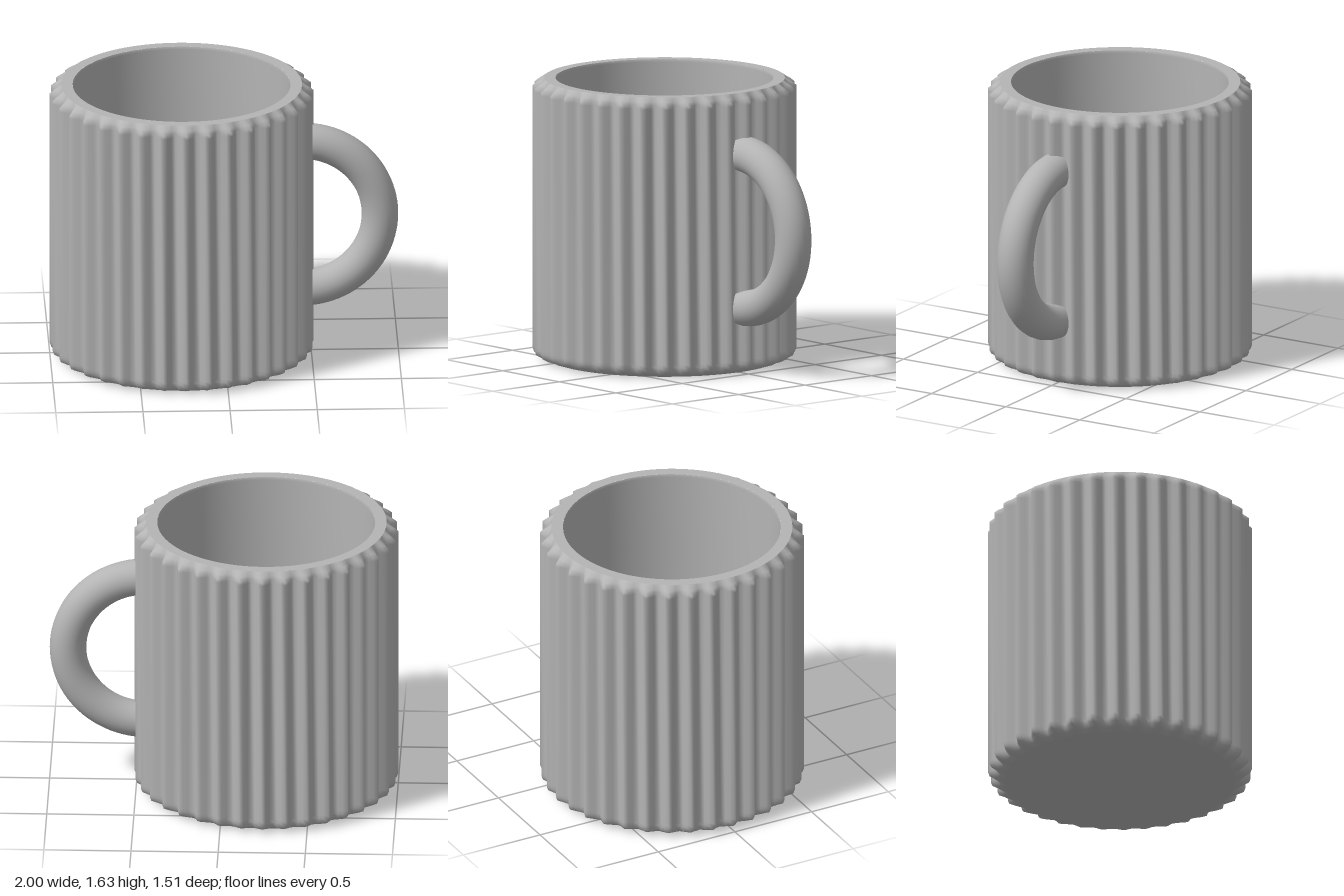
import * as THREE from 'three';
import { mergeVertices, toCreasedNormals } from 'three/addons/utils/BufferGeometryUtils.js';

const RIBS = 36, STEPS = 6;      // ribs around the mug, facets per rib
const CENTER_X = -0.243, HEIGHT = 1.63;

// Lathe a profile of [radius, y] pairs
const lathe = (profile, segments) =>
  new THREE.LatheGeometry(profile.map(([r, y]) => new THREE.Vector2(r, y)), segments);

// Outer wall: pointed ribs that fade out at the foot and the lip
function ribbedWall() {
  const rows = [ // base radius, y, rib depth
    [0.66, 0, 0], [0.685, 0.015, 0.025], [0.697, 0.035, 0.05], [0.7, 0.06, 0.057],
    [0.7, 0.08, 0.057], [0.7, 1.565, 0.057], [0.7, 1.585, 0.057],
    [0.698, 1.605, 0.035], [0.69, HEIGHT, 0],
  ];
  const geo = lathe(rows, RIBS * STEPS);
  const pos = geo.attributes.position;
  for (let i = 0; i < pos.count; i++) {
    const [r, y, depth] = rows[i % rows.length];
    const column = Math.floor(i / rows.length);
    const phase = (column % STEPS) / STEPS;
    const radius = r + depth * Math.abs(1 - 2 * phase);
    const a = (column % (RIBS * STEPS)) / (RIBS * STEPS) * Math.PI * 2;
    pos.setXYZ(i, radius * Math.sin(a), y, radius * Math.cos(a));
  }
  geo.deleteAttribute('uv');
  geo.deleteAttribute('normal');
  const wall = mergeVertices(geo, 1e-5);
  wall.computeVertexNormals();
  return wall;
}

// Inside: straight wall running down into a round bowl
function innerBowl() {
  const profile = [[0.625, HEIGHT], [0.62, 1.615], [0.62, 1.2]];
  for (let i = 0; i <= 16; i++) {
    const a = (i / 16) * Math.PI / 2;
    profile.push([Math.max(0, 0.62 * Math.cos(a)), 0.74 - 0.62 * Math.sin(a)]);
  }
  return lathe(profile, 96);
}

export function createModel() {
  const ceramic = new THREE.MeshStandardMaterial({ color: 0xb4b4b4 });
  ceramic.name = 'grey ceramic';

  const mug = new THREE.Group();
  mug.name = 'mug';
  const add = (name, geometry, x, y = 0) => {
    const mesh = new THREE.Mesh(geometry, ceramic);
    mesh.name = name;
    mesh.position.set(x, y, 0);
    mug.add(mesh);
  };

  add('ribbedWall', ribbedWall(), CENTER_X);
  add('innerBowl', innerBowl(), CENTER_X);

  // Flat lip between the outer and inner walls, and the flat foot
  add('rim', new THREE.RingGeometry(0.625, 0.69, RIBS * STEPS).rotateX(-Math.PI / 2), CENTER_X, HEIGHT);
  add('base', toCreasedNormals(new THREE.CircleGeometry(0.66, RIBS * STEPS).rotateX(Math.PI / 2)), CENTER_X);

  // Half-ring handle with its ends sunk into the wall
  add('handle', new THREE.TorusGeometry(0.4475, 0.105, 24, 48, Math.PI).rotateZ(-Math.PI / 2), 0.447, 0.828);

  return mug;
}
